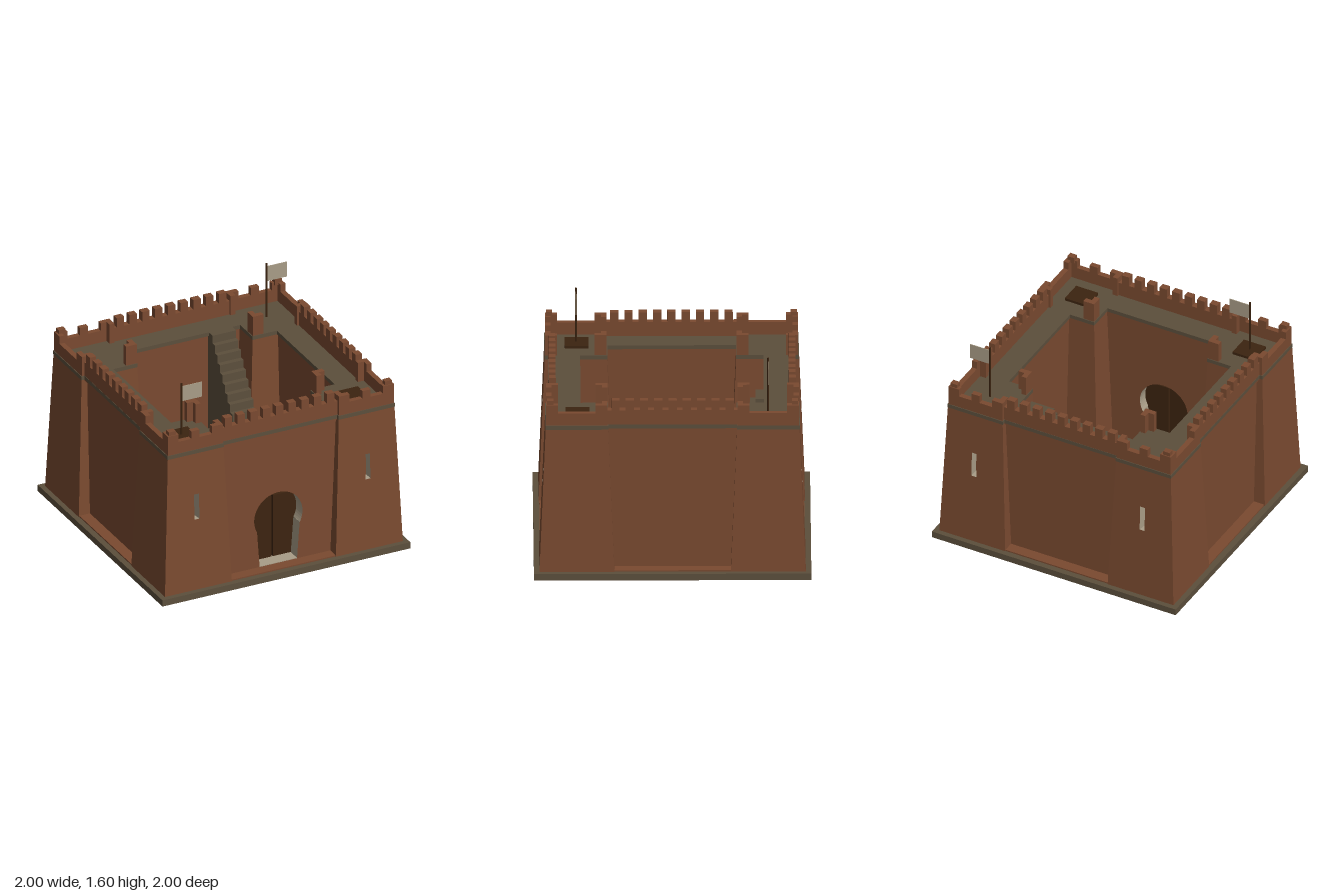
import * as THREE from 'three';

const mat = (name, color, side = THREE.FrontSide) => {
  const m = new THREE.MeshStandardMaterial({ color, side });
  m.name = name;
  return m;
};

export function createModel() {
  const clay = mat('clay', 0x7a4a30);
  const stone = mat('stone', 0x5c4f3c);
  const wood = mat('darkWood', 0x3c2410);
  const plaster = mat('plaster', 0xa99d87, THREE.DoubleSide);

  const model = new THREE.Group();
  model.name = 'fort';

  const add = (parent, name, geo, material) => {
    const m = new THREE.Mesh(geo, material);
    m.name = name;
    parent.add(m);
    return m;
  };
  // Box given by its limits on each axis
  const box = (parent, name, material, x0, x1, y0, y1, z0, z1) => {
    const g = new THREE.BoxGeometry(Math.abs(x1 - x0), y1 - y0, Math.abs(z1 - z0));
    g.translate((x0 + x1) / 2, (y0 + y1) / 2, (z0 + z1) / 2);
    return add(parent, name, g, material);
  };
  const subgroup = (name) => {
    const g = new THREE.Group();
    g.name = name;
    model.add(g);
    return g;
  };

  // Ground slab and courtyard floor
  box(model, 'baseSlab', stone, -1, 1, 0, 0.05, -1, 1);
  box(model, 'courtyardFloor', clay, -0.955, 0.955, 0.04, 0.06, -0.955, 0.955);

  // Horseshoe opening cut into the front wall
  const gateWall = () => {
    const s = new THREE.Shape();
    s.moveTo(-0.5, 0.05);
    s.lineTo(-0.15, 0.05);
    s.lineTo(-0.172, 0.35);
    s.absarc(0, 0.44, 0.195, Math.PI + 0.48, -0.48, true);
    s.lineTo(0.172, 0.35);
    s.lineTo(0.15, 0.05);
    s.lineTo(0.5, 0.05);
    s.lineTo(0.5, 1.135);
    s.lineTo(-0.5, 1.135);
    const g = new THREE.ExtrudeGeometry(s, { depth: 0.21, bevelEnabled: false, curveSegments: 20 });
    return g.translate(0, 0, 0.66);
  };

  // Four curtain walls with walkway and battlements
  ['front', 'left', 'back', 'right'].forEach((side, i) => {
    const wall = subgroup(side + 'Wall');
    wall.rotation.y = (i * Math.PI) / 2;
    if (i === 0) add(wall, 'gateWall', gateWall(), [clay, plaster]);
    else box(wall, 'wallBody', clay, -0.5, 0.5, 0.05, 1.135, 0.67, 0.87);
    box(wall, 'walkway', stone, -0.47, 0.47, 1.135, 1.165, 0.66, 0.892);
    box(wall, 'parapet', clay, -0.47, 0.47, 1.125, 1.275, 0.84, 0.89);
    for (let k = -4; k <= 4; k++) {
      box(wall, 'merlon', clay, k * 0.103 - 0.03, k * 0.103 + 0.03, 1.27, 1.35, 0.84, 0.89);
    }
  });

  // Gate leaves and threshold
  for (const s of [-1, 1]) box(model, 'gateLeaf', wood, s * 0.006, s * 0.2, 0.06, 0.56, 0.74, 0.77);
  box(model, 'threshold', plaster, -0.15, 0.15, 0.058, 0.064, 0.66, 0.87);

  // Tapered tower body: plain on three sides, with a slit cut in the +z face
  const half = (y) => 0.27 - (0.046 * (y - 0.05)) / 1.11;
  const towerBody = () => {
    const g = new THREE.BoxGeometry(2, 1.11, 2);
    g.translate(0, 0.605, 0);
    const p = g.attributes.position;
    for (let i = 0; i < p.count; i++) {
      const h = half(p.getY(i));
      p.setXYZ(i, p.getX(i) * h, p.getY(i), p.getZ(i) * h);
    }
    const idx = Array.from(g.index.array);
    g.setIndex([...idx.slice(0, 24), ...idx.slice(30)]);
    g.clearGroups();
    g.computeVertexNormals();
    return g;
  };
  const towerFace = () => {
    const s = new THREE.Shape();
    s.moveTo(-0.27, 0.05);
    s.lineTo(0.27, 0.05);
    s.lineTo(0.224, 1.16);
    s.lineTo(-0.224, 1.16);
    const hole = new THREE.Path();
    hole.moveTo(-0.02, 0.61);
    hole.lineTo(-0.02, 0.81);
    hole.lineTo(0.02, 0.81);
    hole.lineTo(0.02, 0.61);
    s.holes.push(hole);
    const g = new THREE.ShapeGeometry(s);
    const p = g.attributes.position;
    for (let i = 0; i < p.count; i++) p.setZ(i, half(p.getY(i)));
    g.computeVertexNormals();
    return g;
  };
  // Inside-out box, open at the front, with one splayed jamb
  const slitRecess = (o) => {
    const g = new THREE.BoxGeometry(0.04, 0.2, 2);
    g.scale(1, 1, -1);
    const p = g.attributes.position;
    for (let i = 0; i < p.count; i++) {
      const y = p.getY(i) + 0.71;
      const back = p.getZ(i) < 0;
      const x = p.getX(i);
      p.setXYZ(i, back && x * o < 0 ? x + o * 0.01 : x, y, half(y) - (back ? 0.07 : 0));
    }
    g.setIndex(Array.from(g.index.array).slice(0, 30));
    g.clearGroups();
    g.addGroup(0, 24, 0);
    g.addGroup(24, 6, 1);
    g.computeVertexNormals();
    return g;
  };

  // Corner towers
  for (const sx of [-1, 1]) for (const sz of [-1, 1]) {
    const tower = subgroup((sz > 0 ? 'front' : 'back') + (sx > 0 ? 'Left' : 'Right') + 'Tower');
    const body = new THREE.Group();
    body.name = 'towerBody';
    body.position.set(sx * 0.69, 0, sz * 0.69);
    body.rotation.y = sz > 0 ? 0 : Math.PI;
    tower.add(body);
    add(body, 'taperedWalls', towerBody(), clay);
    add(body, 'slitFace', towerFace(), clay);
    add(body, 'arrowSlit', slitRecess(sx * sz), [plaster, clay]);

    // Mirrored box inside this corner, u along x and v along z
    const bit = (name, m, u0, u1, y0, y1, v0, v1) =>
      box(tower, name, m, sx * u0, sx * u1, y0, y1, sz * v0, sz * v1);
    bit('towerFloor', stone, 0.463, 0.917, 1.135, 1.165, 0.463, 0.917);
    bit('frontParapet', clay, 0.468, 0.912, 1.16, 1.26, 0.872, 0.912);
    bit('sideParapet', clay, 0.872, 0.912, 1.16, 1.26, 0.468, 0.872);
    bit('middleMerlon', clay, 0.657, 0.723, 1.26, 1.32, 0.872, 0.912);
    // L-shaped posts at the four corners
    for (const cu of [0, 1]) for (const cv of [0, 1]) {
      const [a, b, c] = cu ? [0.912, 0.872, 0.825] : [0.468, 0.508, 0.555];
      const [d, e, f] = cv ? [0.912, 0.872, 0.825] : [0.468, 0.508, 0.555];
      const lo = Math.min, hi = Math.max;
      bit('cornerPost', clay, lo(a, c), hi(a, c), 1.16, 1.32, lo(d, e), hi(d, e));
      bit('cornerPost', clay, lo(a, b), hi(a, b), 1.16, 1.32, lo(e, f), hi(e, f));
    }
    bit('cornerCap', clay, 0.845, 0.9, 1.3, 1.35, 0.86, 0.905);
    if (sz > 0) bit('hatch', wood, 0.598, 0.778, 1.16, 1.185, 0.598, 0.77);
  }

  // Flags on two opposite towers
  for (const s of [-1, 1]) {
    const flag = subgroup('flag');
    flag.position.set(s * 0.69, 0, s * -0.69);
    add(flag, 'flagPole', new THREE.CylinderGeometry(0.007, 0.007, 0.44, 8).translate(0, 1.38, 0), wood);
    box(flag, 'flagCloth', plaster, 0.005, 0.165, 1.455, 1.575, -0.003, 0.003);
  }

  // Stairs up to the back walkway
  const stairs = subgroup('stairs');
  const steps = 17, run = 0.685 / steps, rise = 1.105 / (steps + 1);
  box(stairs, 'landing', stone, 0.21, 0.4, 0.06, 1.165, -0.68, -0.6);
  for (let i = 0; i < steps; i++) {
    const z = -0.6 + i * run;
    box(stairs, 'step', stone, 0.21, 0.4, 0.06, 1.165 - (i + 1) * rise, z, z + run);
  }

  // Courtyard shed and the two low blocks facing each other
  box(model, 'shedWalls', clay, -0.48, -0.25, 0.06, 0.36, -0.51, 0.16);
  box(model, 'shedRoof', wood, -0.5, -0.23, 0.36, 0.39, -0.53, 0.18);
  box(model, 'shedBlock', wood, -0.25, -0.15, 0.06, 0.2, -0.28, -0.155);
  box(model, 'stairBlock', wood, 0.14, 0.21, 0.06, 0.2, -0.28, -0.155);

  return model;
}
